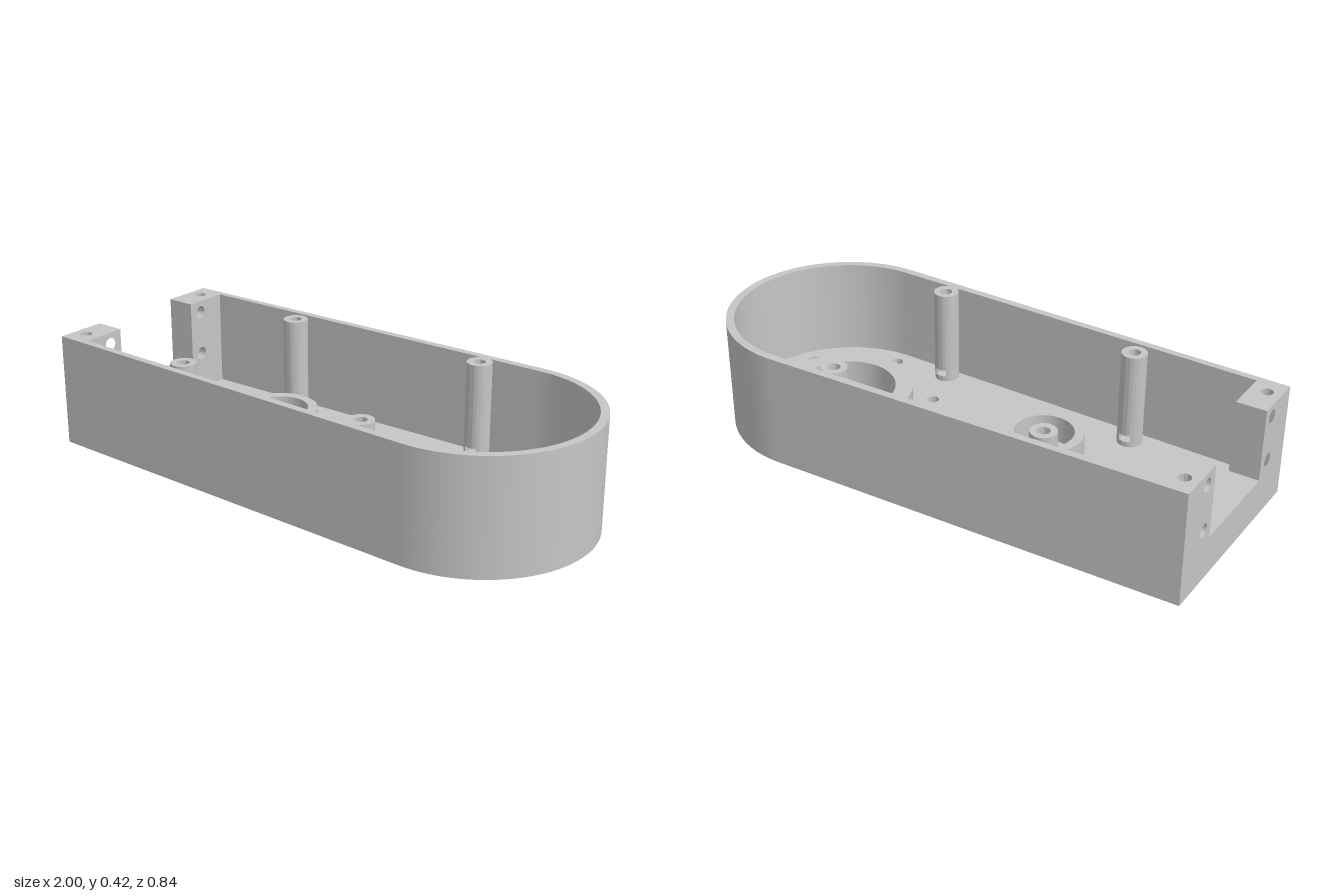
import * as THREE from 'three';
import { toCreasedNormals } from 'three/addons/utils/BufferGeometryUtils.js';

const HEIGHT = 0.42, FLOOR = 0.06, SILL = 0.15;
const ARC_X = 0.58, END_X = -1, INNER_X = -0.89;
const TILT = Math.PI / 2 + 0.025; // where the round end meets the tapered sides

export function createModel() {
  const model = new THREE.Group();
  model.name = 'housing';
  const grey = new THREE.MeshStandardMaterial({ color: 0xc6c6c6 });
  grey.name = 'grey';

  const circle = (x, y, r) => new THREE.Path().absarc(x, y, r, 0, Math.PI * 2, true);
  const disc = (x, y, r) => new THREE.Shape().absarc(x, y, r, 0, Math.PI * 2, false);

  // Extrudes a plan shape (x, -z) upward between two heights
  function slab(name, shape, y0, y1, parent = model) {
    const geo = new THREE.ExtrudeGeometry(shape, { depth: y1 - y0, bevelEnabled: false, curveSegments: 40 });
    geo.rotateX(-Math.PI / 2);
    const mesh = new THREE.Mesh(toCreasedNormals(geo, 0.5), grey);
    mesh.position.y = y0;
    mesh.name = name;
    parent.add(mesh);
  }

  function ring(name, x, y, outer, inner, y0, y1, parent = model) {
    const shape = disc(x, y, outer);
    shape.holes.push(circle(x, y, inner));
    slab(name, shape, y0, y1, parent);
  }

  // Tapered plan with one round end
  function outline(Type, x, half, r) {
    const path = new Type();
    path.moveTo(x, half);
    path.lineTo(x, -half);
    path.absarc(ARC_X, 0, r, -TILT, TILT, false);
    path.lineTo(x, half);
    return path;
  }

  // Floor with bearing openings, screw holes and a cable slot
  const floor = outline(THREE.Shape, END_X, 0.38, 0.42);
  floor.holes.push(circle(ARC_X, 0, 0.185), circle(-0.28, 0, 0.085));
  for (let i = 0; i < 6; i++) {
    const a = Math.PI / 6 + i * Math.PI / 3;
    floor.holes.push(circle(ARC_X + 0.325 * Math.cos(a), 0.325 * Math.sin(a), 0.022));
  }
  const slot = new THREE.Path();
  slot.absarc(0.165, 0.255, 0.027, 0, Math.PI, false);
  slot.absarc(0.165, 0.198, 0.027, Math.PI, Math.PI * 2, false);
  slot.lineTo(0.192, 0.255);
  floor.holes.push(slot);
  slab('floor', floor, 0, FLOOR);

  // Lower wall, closed at the square end by the sill
  const lower = outline(THREE.Shape, END_X, 0.38, 0.42);
  lower.holes.push(outline(THREE.Path, INNER_X, 0.357, 0.39));
  slab('lowerWall', lower, FLOOR, SILL);

  // Upper wall, open between the two end blocks
  const split = 0.275;
  const upper = new THREE.Shape();
  upper.moveTo(END_X, -split);
  upper.lineTo(END_X, -0.38);
  upper.absarc(ARC_X, 0, 0.42, -TILT, TILT, false);
  upper.lineTo(END_X, 0.38);
  upper.lineTo(END_X, split);
  upper.lineTo(INNER_X, split);
  upper.lineTo(INNER_X, 0.357);
  upper.absarc(ARC_X, 0, 0.39, TILT, -TILT, true);
  upper.lineTo(INNER_X, -0.357);
  upper.lineTo(INNER_X, -split);
  upper.lineTo(END_X, -split);
  for (const s of [-1, 1]) upper.holes.push(circle(-0.95, s * 0.305, 0.022));
  slab('upperWall', upper, SILL, HEIGHT);

  // Inner halves of the end blocks, drilled lengthwise
  for (const s of [-1, 1]) {
    const a = s * 0.19, b = s * split;
    const face = new THREE.Shape([[a, SILL], [b, SILL], [b, HEIGHT], [a, HEIGHT]]
      .map(([u, v]) => new THREE.Vector2(u, v)));
    for (const y of [0.205, 0.375]) face.holes.push(circle(s * 0.243, y, 0.024));
    const geo = new THREE.ExtrudeGeometry(face, { depth: INNER_X - END_X, bevelEnabled: false, curveSegments: 16 });
    geo.rotateY(Math.PI / 2);
    const block = new THREE.Mesh(toCreasedNormals(geo, 0.5), grey);
    block.position.x = END_X;
    block.name = s > 0 ? 'endBlockBack' : 'endBlockFront';
    model.add(block);
  }

  // Bearing bosses; the small one is counterbored
  ring('largeBoss', ARC_X, 0, 0.25, 0.185, FLOOR, 0.11);
  ring('smallBossBase', -0.28, 0, 0.14, 0.085, FLOOR, 0.1);
  ring('smallBossRim', -0.28, 0, 0.14, 0.105, 0.1, 0.2);

  // Screw posts, each with a small nut slot facing inward near the foot
  for (const [x, z] of [[-0.455, 0.307], [0.355, 0.342]]) {
    for (const s of [-1, 1]) {
      const post = new THREE.Group();
      post.name = 'screwPost';
      post.position.set(x, 0, s * z);
      if (s < 0) post.rotation.y = Math.PI;
      model.add(post);
      slab('postFoot', disc(0, 0, 0.046), FLOOR, 0.08, post);
      const notch = new THREE.Shape();
      notch.absarc(0, 0, 0.046, Math.PI / 2 + 0.5, Math.PI * 2.5 - 0.5, false);
      notch.lineTo(0.022, -0.015);
      notch.lineTo(-0.022, -0.015);
      slab('nutSlot', notch, 0.08, 0.105, post);
      ring('postShaft', 0, 0, 0.046, 0.022, 0.105, HEIGHT, post);
      // Web tying the post to the wall
      if (x > 0) {
        const web = new THREE.Mesh(new THREE.BoxGeometry(0.04, HEIGHT - FLOOR - 0.002, 0.025), grey);
        web.position.set(0, (HEIGHT + FLOOR) / 2 - 0.001, 0.045);
        web.name = 'postWeb';
        post.add(web);
      }
    }
  }
  return model;
}
